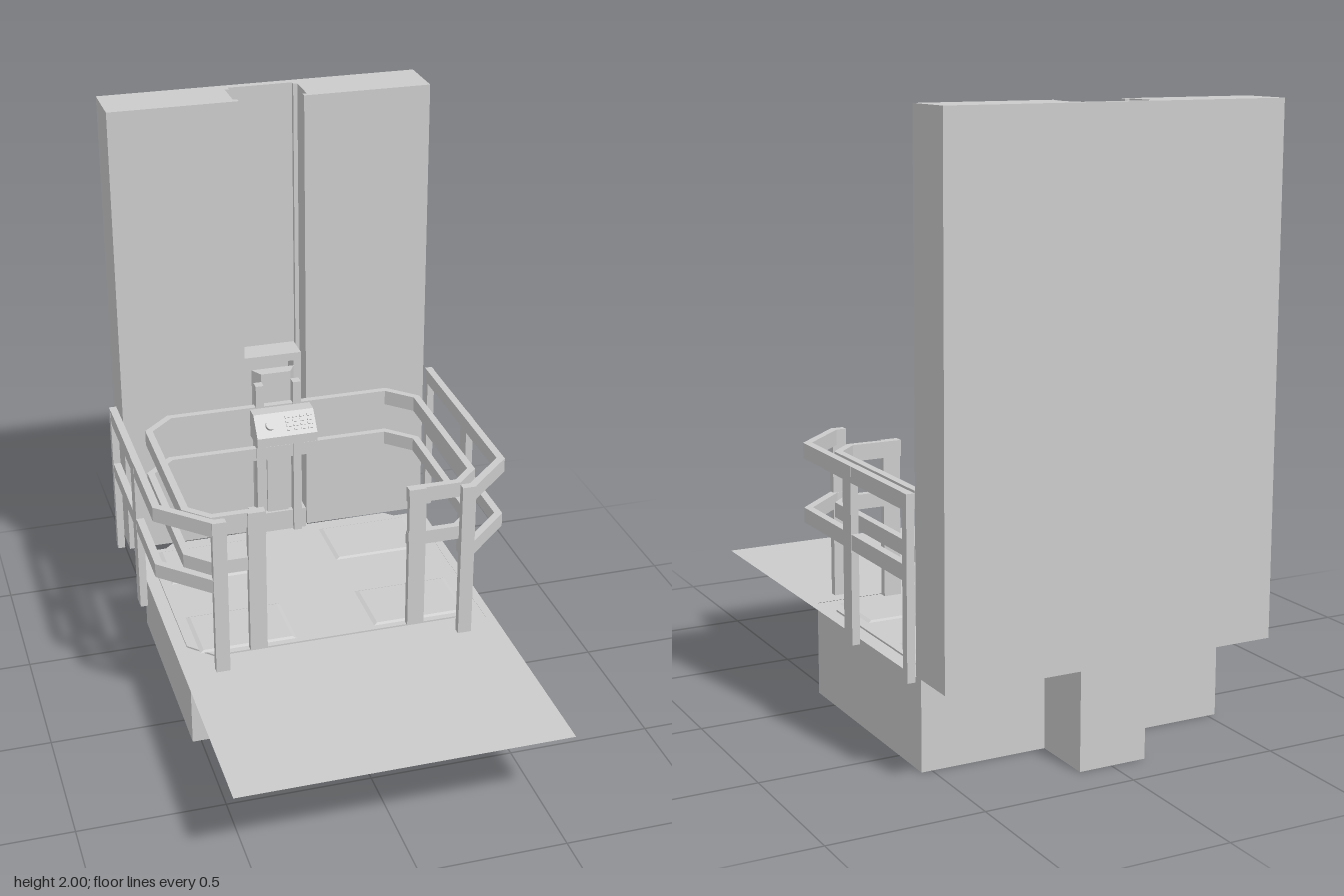
import * as THREE from 'three';

const mat = new THREE.MeshStandardMaterial({ color: 0xcccccc, flatShading: true, side: THREE.DoubleSide });

export function createModel() {
  const root = new THREE.Group();
  root.name = 'platformLift';

  function add(name, geo, parent = root) {
    const m = new THREE.Mesh(geo, mat);
    m.name = name;
    parent.add(m);
    return m;
  }
  // Box given by its limits
  function box(name, x0, x1, y0, y1, z0, z1, parent) {
    const g = new THREE.BoxGeometry(x1 - x0, y1 - y0, z1 - z0);
    g.translate((x0 + x1) / 2, (y0 + y1) / 2, (z0 + z1) / 2);
    return add(name, g, parent);
  }
  // Plan outline of [x, z] points raised from y0 to y1
  function prism(name, pts, y0, y1, parent) {
    const s = new THREE.Shape(pts.map(([x, z]) => new THREE.Vector2(x, -z)));
    const g = new THREE.ExtrudeGeometry(s, { depth: y1 - y0, bevelEnabled: false });
    g.rotateX(-Math.PI / 2).translate(0, y0, 0);
    return add(name, g, parent);
  }
  // Flat rail of constant thickness, mitred to one side of an [x, z] path
  function rail(name, path, t, y0, y1, parent) {
    const p = path.map(([x, z]) => new THREE.Vector2(x, z));
    const normal = (a, b) => {
      const d = b.clone().sub(a).normalize();
      return new THREE.Vector2(-d.y, d.x);
    };
    const inner = p.map((v, i) => {
      const n1 = i > 0 ? normal(p[i - 1], v) : normal(v, p[i + 1]);
      const n2 = i < p.length - 1 ? normal(v, p[i + 1]) : n1;
      const m = n1.clone().add(n2).multiplyScalar(t / (1 + n1.dot(n2)));
      return [v.x + m.x, v.y + m.y];
    });
    return prism(name, [...path, ...inner.reverse()], y0, y1, parent);
  }
  const mirror = path => path.map(([x, z]) => [-x, z]).reverse();

  // Pit with its rear shaft foot
  box('pit', -0.53, 0.535, 0, 0.314, -0.655, 0.132);
  box('shaftFoot', -0.12, 0.11, 0, 0.318, -0.873, -0.655);

  // Floor sheet around the pit
  const floor = new THREE.Shape([[-0.56, 0.68], [-0.56, -0.873], [0.565, -0.873], [0.565, 0.68],
    [0.535, 0.68], [0.535, -0.132], [-0.53, -0.132], [-0.53, 0.68]].map(p => new THREE.Vector2(...p)));
  add('floorSheet', new THREE.ShapeGeometry(floor).rotateX(-Math.PI / 2).translate(0, 0.315, 0));

  // Rear wall with a mast recess and a guide groove in each side of it
  prism('wall', [[-0.575, -0.873], [-0.575, -0.683], [-0.12, -0.683], [-0.12, -0.705], [-0.135, -0.705],
    [-0.135, -0.825], [-0.12, -0.825], [-0.12, -0.843], [0.11, -0.843], [0.11, -0.825], [0.125, -0.825],
    [0.125, -0.705], [0.11, -0.705], [0.11, -0.683], [0.565, -0.683], [0.565, -0.873]], 0.318, 2);

  // Platform deck with four shallow panels
  const platform = new THREE.Group();
  platform.name = 'platform';
  root.add(platform);
  const half = [[-0.25, 0.1], [-0.435, 0.1], [-0.515, 0.02], [-0.515, -0.577], [-0.415, -0.675]];
  const loop = [...half, ...mirror(half)];
  prism('deck', loop, 0.29, 0.32, platform);
  for (const s of [-1, 1]) for (const z of [-0.505, -0.04]) {
    const g = new THREE.CylinderGeometry(0.92 * Math.SQRT1_2, Math.SQRT1_2, 1, 4);
    g.rotateY(Math.PI / 4).scale(0.34, 0.005, 0.235).translate(s * 0.31, 0.3225, z);
    add('deckPanel', g, platform);
  }

  // Platform railing: two rails round the deck and a post at each side of the entrance
  for (const [y0, y1] of [[0.635, 0.685], [0.8, 0.855]]) rail('platformRail', loop, 0.025, y0, y1, platform);
  for (const s of [-1, 1]) {
    box('entrancePost', s * 0.281 - 0.03, s * 0.281 + 0.03, 0.32, 0.855, 0.083, 0.108, platform);
  }

  // Fixed outer guard rails
  const guardPath = [[-0.41, 0.2], [-0.45, 0.2], [-0.615, 0.04], [-0.615, -0.73]];
  for (const s of [-1, 1]) {
    const guard = new THREE.Group();
    guard.name = s > 0 ? 'leftGuard' : 'rightGuard';
    root.add(guard);
    const path = s < 0 ? guardPath : mirror(guardPath);
    for (const [y0, y1] of [[0.625, 0.675], [0.838, 0.89]]) rail('guardRail', path, 0.026, y0, y1, guard);
    const post = (name, a, b, z0, z1) =>
      box(name, Math.min(s * a, s * b), Math.max(s * a, s * b), 0.318, 0.89, z0, z1, guard);
    post('frontPost', 0.405, 0.453, 0.176, 0.202);
    post('middlePost', 0.59, 0.616, -0.335, -0.275);
    post('rearPost', 0.59, 0.616, -0.73, -0.7);
  }

  // Lifting carriage: arched frame, tapered core and two upright bars
  const carriage = new THREE.Group();
  carriage.name = 'carriage';
  carriage.position.x = -0.005;
  root.add(carriage);
  const arch = new THREE.Shape([[-0.108, 0.32], [0.108, 0.32], [0.108, 1.02], [-0.108, 1.02]]
    .map(p => new THREE.Vector2(...p)));
  arch.holes.push(new THREE.Path([[-0.08, 0.4], [-0.08, 0.99], [0.08, 0.99], [0.08, 0.4]]
    .map(p => new THREE.Vector2(...p))));
  add('carriageFrame', new THREE.ExtrudeGeometry(arch, { depth: 0.1, bevelEnabled: false })
    .translate(0, 0, -0.825), carriage);
  box('carriageBack', -0.08, 0.08, 0.4, 0.99, -0.825, -0.805, carriage);
  prism('carriageCore', [[-0.08, -0.725], [-0.055, -0.68], [0.055, -0.68], [0.08, -0.725]], 0.4, 0.97, carriage);
  box('corePanel', -0.04, 0.04, 0.4, 0.665, -0.68, -0.67, carriage);
  box('coreBar', -0.05, 0.05, 0.69, 0.725, -0.68, -0.66, carriage);
  box('carriageBase', -0.105, 0.105, 0.32, 0.4, -0.725, -0.66, carriage);
  for (const s of [-1, 1]) box('uprightBar', s * 0.07 - 0.015, s * 0.07 + 0.015, 0.32, 0.94, -0.68, -0.645, carriage);

  // Control console, profile drawn in z and y
  const consoleGroup = new THREE.Group();
  consoleGroup.name = 'console';
  root.add(consoleGroup);
  const profile = new THREE.Shape([[-0.638, 0.75], [-0.53, 0.75], [-0.53, 0.785], [-0.588, 0.855], [-0.638, 0.855]]
    .map(([z, y]) => new THREE.Vector2(-z, y)));
  add('consoleBody', new THREE.ExtrudeGeometry(profile, { depth: 0.225, bevelEnabled: false })
    .rotateY(Math.PI / 2).translate(-0.115, 0, 0), consoleGroup);
  box('consoleArm', -0.055, 0.045, 0.77, 0.84, -0.65, -0.636, consoleGroup);

  // Buttons on the sloping face
  const face = new THREE.Group();
  face.name = 'controls';
  face.position.set(-0.002, 0.82, -0.559);
  face.rotation.x = Math.atan2(0.058, 0.07);
  face.rotation.x = -Math.atan2(0.058, 0.07);
  consoleGroup.add(face);
  add('stopButton', new THREE.CylinderGeometry(0.018, 0.018, 0.016, 20).rotateX(Math.PI / 2)
    .translate(-0.058, 0, 0.008), face);
  for (let i = 0; i < 4; i++) for (let j = 0; j < 4; j++) {
    const x = 0.01 + i * 0.027, y = (j - 1.5) * 0.016;
    box('button', x - 0.009, x + 0.009, y - 0.004, y + 0.004, 0, 0.005, face);
  }
  return root;
}
